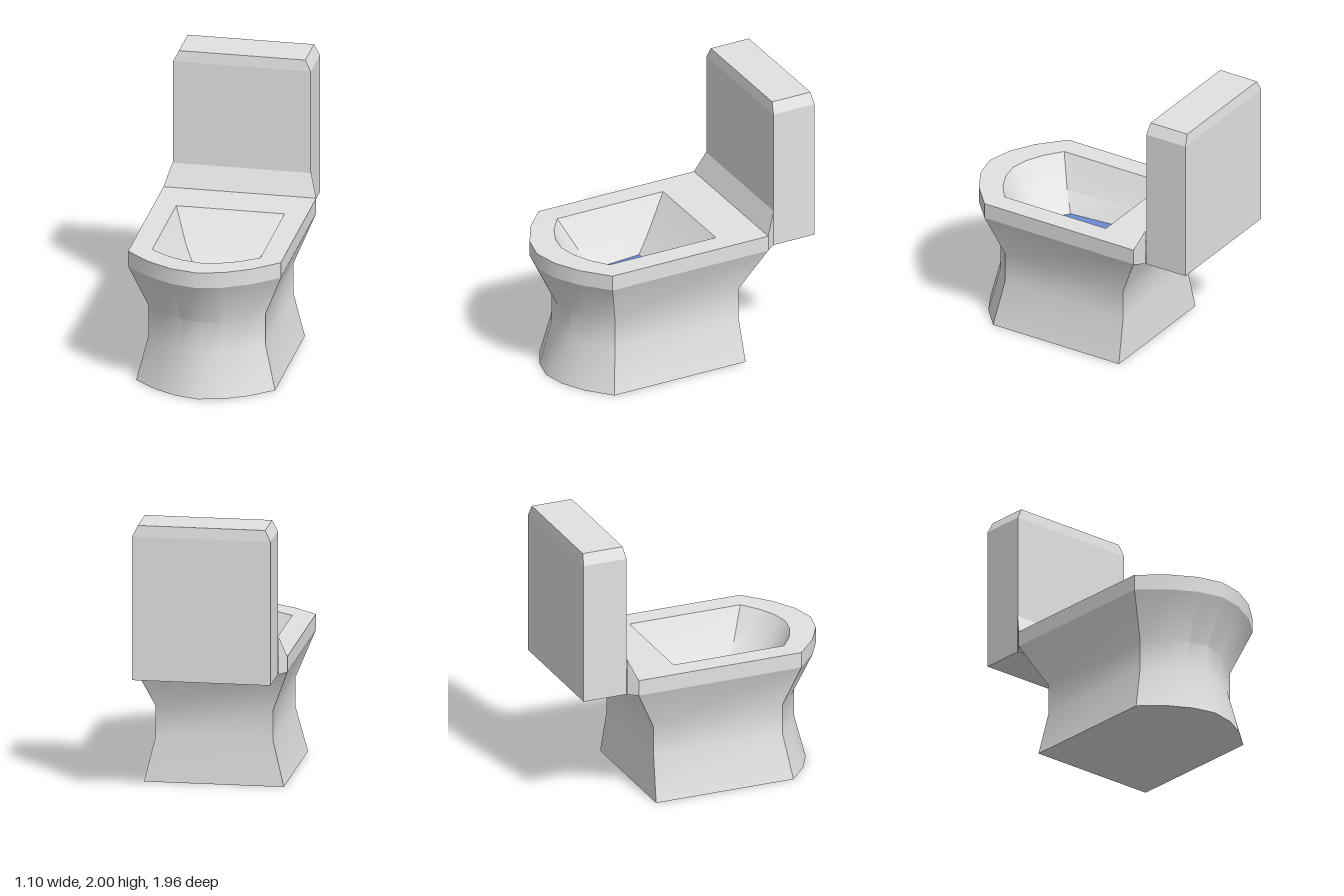
import * as THREE from 'three';
import { toCreasedNormals } from 'three/addons/utils/BufferGeometryUtils.js';

const ceramic = new THREE.MeshStandardMaterial({ name: 'ceramic', color: 0xe2e2e2 });
const waterBlue = new THREE.MeshStandardMaterial({ name: 'waterBlue', color: 0x6c8acd });

// Horizontal D outline: straight back and sides, rounded front
function dRing(y, backW, frontW, zBack, zSide, zFront) {
  const arc = [[1, 0], [0.67, 0.53], [0.34, 0.86]];
  const half = [[backW, zBack], ...arc.map(([u, v]) => [u * frontW, zSide + v * (zFront - zSide)])];
  return [
    ...half.map(([x, z]) => [x, y, z]),
    [0, y, zFront],
    ...half.slice().reverse().map(([x, z]) => [-x, y, z]),
  ];
}

function rectRing(y, w, zBack, zFront) {
  return [[w, y, zBack], [w, y, zFront], [-w, y, zFront], [-w, y, zBack]];
}

// Skin a list of matching rings, with optional flat caps
function loft(rings, creaseDegrees, capStart = false, capEnd = false) {
  const pos = [];
  const tri = (a, b, c) => pos.push(...a, ...b, ...c);
  for (let i = 0; i < rings.length - 1; i++) {
    const lo = rings[i], hi = rings[i + 1];
    for (let j = 0; j < lo.length; j++) {
      const k = (j + 1) % lo.length;
      tri(lo[j], hi[j], lo[k]);
      tri(lo[k], hi[j], hi[k]);
    }
  }
  const first = rings[0], last = rings[rings.length - 1];
  for (let j = 1; j < first.length - 1; j++) {
    if (capStart) tri(first[0], first[j], first[j + 1]);
    if (capEnd) tri(last[0], last[j + 1], last[j]);
  }
  const g = new THREE.BufferGeometry();
  g.setAttribute('position', new THREE.Float32BufferAttribute(pos, 3));
  g.computeVertexNormals();
  return toCreasedNormals(g, THREE.MathUtils.degToRad(creaseDegrees));
}

export function createModel() {
  const group = new THREE.Group();
  group.name = 'toilet';
  const add = (name, geometry, material) => {
    const mesh = new THREE.Mesh(geometry, material);
    mesh.name = name;
    group.add(mesh);
  };

  // Waisted pedestal
  add('pedestal', loft([
    dRing(0, 0.5, 0.5, -0.425, 0.63, 0.905),
    dRing(0.33, 0.42, 0.42, -0.41, 0.58, 0.82),
    dRing(0.55, 0.42, 0.42, -0.41, 0.58, 0.82),
    dRing(0.875, 0.55, 0.55, -0.58, 0.67, 0.98),
  ], 30, true), ceramic);

  // Rim band and flat top around the opening
  const opening = dRing(0.99, 0.39, 0.39, -0.245, 0.605, 0.785);
  add('rim', loft([
    dRing(0.875, 0.55, 0.55, -0.58, 0.67, 0.98),
    dRing(0.99, 0.55, 0.55, -0.58, 0.67, 0.98),
    opening,
  ], 30), ceramic);

  // Bowl interior down to the water
  const waterLine = dRing(0.65, 0.2, 0.168, 0.05, 0.41, 0.485);
  add('bowl', loft([
    opening,
    dRing(0.77, 0.285, 0.265, -0.075, 0.5, 0.645),
    waterLine,
  ], 35), ceramic);
  add('water', loft([waterLine], 30, false, true), waterBlue);

  // Sloped block joining rim and tank
  const joint = (z, w, top) => [[w, top, z], [w, 0.875, z], [-w, 0.875, z], [-w, top, z]];
  add('tankJoint', loft([joint(-0.65, 0.5, 1.15), joint(-0.58, 0.55, 0.99)], 5), ceramic);

  // Tank with chamfered top
  add('tank', loft([
    rectRing(0.875, 0.495, -0.98, -0.652),
    rectRing(1.92, 0.495, -0.98, -0.652),
    rectRing(2, 0.455, -0.97, -0.663),
  ], 5, true, true), ceramic);

  return group;
}
